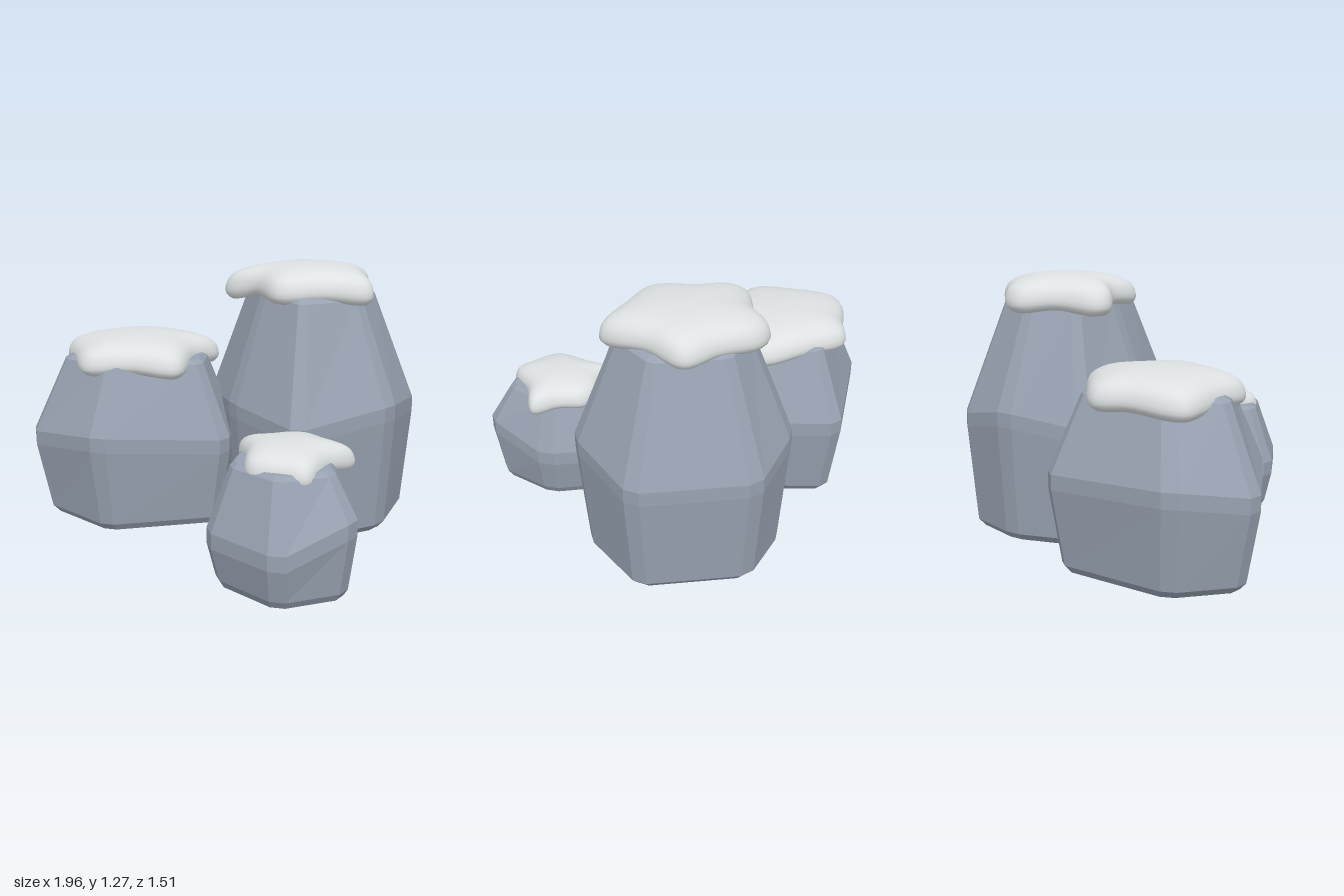
import * as THREE from 'three';
import { mergeVertices } from 'three/addons/utils/BufferGeometryUtils.js';

// Skin closed rings of Vector3 points, listed from the bottom up
function loft(rings) {
  const n = rings[0].length;
  const index = [];
  for (let r = 0; r < rings.length - 1; r++) {
    for (let i = 0; i < n; i++) {
      const a = r * n + i, b = r * n + (i + 1) % n;
      index.push(a, a + n, b, b, a + n, b + n);
    }
  }
  const geometry = new THREE.BufferGeometry().setFromPoints(rings.flat());
  geometry.setIndex(index);
  return mergeVertices(geometry, 1e-5);
}

// Cut every corner [x, z, waistHeight] of a polygon into two points
function cutCorners(corners, cut) {
  const toward = (p, q) => {
    const t = cut / Math.hypot(q[0] - p[0], q[1] - p[1]);
    return [p[0] + (q[0] - p[0]) * t, p[1] + (q[1] - p[1]) * t, p[2]];
  };
  const n = corners.length;
  return corners.flatMap((p, i) => [toward(p, corners[(i + n - 1) % n]), toward(p, corners[(i + 1) % n])]);
}

// Faceted boulder: chamfered foot, bevelled waist, tapering shoulders
function rockGeometry(corners, [cx, cz], foot, shoulder, top) {
  const outline = cutCorners(corners, 0.045);
  const ring = (scale, height) => outline.map(([x, z, waist]) =>
    new THREE.Vector3(cx + (x - cx) * scale, height(waist), cz + (z - cz) * scale));
  const geometry = loft([
    ring(0, () => 0),
    ring(foot - 0.06, () => 0),
    ring(foot, () => 0.035),
    ring(0.985, (waist) => waist - 0.035),
    ring(0.985, (waist) => waist + 0.035),
    ring(shoulder, () => top - 0.02),
    ring(shoulder - 0.06, () => top),
    ring(0, () => top),
  ]).toNonIndexed();
  geometry.computeVertexNormals();
  return geometry;
}

// Soft lobed snow cap: the section runs from the underside, round the rim, to the crown
function snowGeometry(lobes, [cx, cz], bottom, top) {
  const section = new THREE.SplineCurve([
    [0, 0.25], [0.6, 0.2], [0.84, 0.05], [0.92, 0], [1, 0.2], [0.94, 0.58], [0.74, 0.83], [0.4, 0.96], [0, 1],
  ].map(([r, h]) => new THREE.Vector2(r, h))).getPoints(24);
  const rim = new THREE.CatmullRomCurve3(
    lobes.map(([x, z]) => new THREE.Vector3(x - cx, 0, z - cz)), true).getPoints(72).slice(0, 72);
  const lengths = rim.map((p) => p.length());
  const longest = Math.max(...lengths);
  const mean = lengths.reduce((a, b) => a + b) / lengths.length;
  const geometry = loft(section.map(({ x: r, y: h }) => rim.map((p, i) => {
    // lobes fade toward the crown, and the rim lifts between lobes
    const scale = r * THREE.MathUtils.lerp(mean / lengths[i], 1, Math.min(1, r * 1.1));
    const lift = (longest - lengths[i]) * 0.28 * (1 - h) * r;
    return new THREE.Vector3(cx + p.x * scale, bottom + (top - bottom) * h + lift, cz + p.z * scale);
  })));
  geometry.computeVertexNormals();
  return geometry;
}

function namedMesh(name, geometry, material) {
  const mesh = new THREE.Mesh(geometry, material);
  mesh.name = name;
  return mesh;
}

export function createModel() {
  const stone = new THREE.MeshStandardMaterial({ color: 0x98a2b1 });
  stone.name = 'stone';
  const snow = new THREE.MeshStandardMaterial({ color: 0xdde1e2 });
  snow.name = 'snow';

  const model = new THREE.Group();
  model.name = 'snowyRocks';

  // Tall boulder at the back
  const tallCorners = [[-0.11, -0.77, 0.55], [0.47, -0.7, 0.55], [0.65, -0.27, 0.6], [0.475, 0.23, 0.55],
    [-0.01, 0.165, 0.58], [-0.415, -0.08, 0.55], [-0.36, -0.49, 0.6]];
  const tallLobes = [[-0.24, -0.43], [-0.17, -0.51], [0.02, -0.56], [0.2, -0.61], [0.33, -0.45], [0.495, -0.27],
    [0.36, -0.1], [0.2, 0.06], [-0.02, -0.01], [-0.19, 0], [-0.25, -0.06], [-0.22, -0.27]];
  model.add(
    namedMesh('tallRock', rockGeometry(tallCorners, [0.11, -0.27], 0.9, 0.6, 1.14), stone),
    namedMesh('tallSnowCap', snowGeometry(tallLobes, [0.12, -0.27], 1.085, 1.275), snow),
  );

  // Wide boulder on the right-hand side
  const wideCorners = [[-0.71, -0.21, 0.42], [-0.2, -0.07, 0.42], [0.025, 0.2, 0.41], [-0.34, 0.735, 0.45],
    [-0.86, 0.75, 0.4], [-1.01, 0.39, 0.44]];
  const wideLobes = [[-0.79, 0.03], [-0.6, -0.03], [-0.31, -0.055], [-0.26, 0.15], [-0.14, 0.38], [-0.33, 0.53],
    [-0.5, 0.655], [-0.69, 0.57], [-0.9, 0.45], [-0.91, 0.36], [-0.84, 0.18]];
  model.add(
    namedMesh('wideRock', rockGeometry(wideCorners, [-0.49, 0.28], 0.87, 0.69, 0.82), stone),
    namedMesh('wideSnowCap', snowGeometry(wideLobes, [-0.52, 0.28], 0.74, 0.92), snow),
  );

  // Small boulder at the front left
  const smallCorners = [[0.21, 0.4, 0.27], [0.44, 0.12, 0.24], [0.75, 0.15, 0.24], [1.005, 0.435, 0.32],
    [0.84, 0.76, 0.22], [0.42, 0.76, 0.22]];
  const smallLobes = [[0.46, 0.23], [0.53, 0.185], [0.66, 0.2], [0.79, 0.2], [0.79, 0.37], [0.83, 0.56],
    [0.74, 0.61], [0.59, 0.66], [0.45, 0.53], [0.32, 0.43], [0.4, 0.35]];
  model.add(
    namedMesh('smallRock', rockGeometry(smallCorners, [0.6, 0.44], 0.88, 0.69, 0.55), stone),
    namedMesh('smallSnowCap', snowGeometry(smallLobes, [0.6, 0.42], 0.485, 0.63), snow),
  );
  return model;
}
